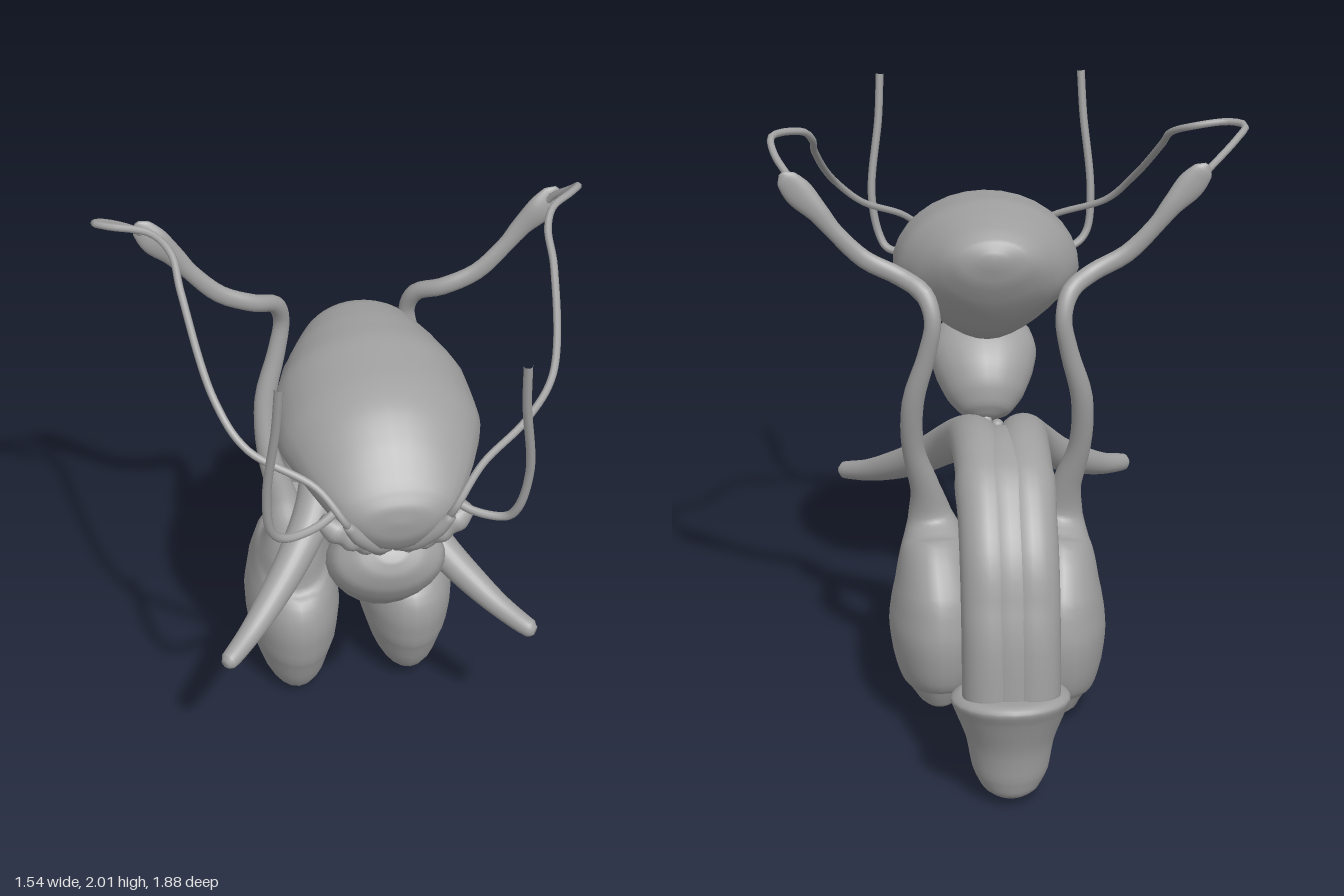
import * as THREE from 'three';

const CX = 0.048; // anatomical midline
const X = new THREE.Vector3(1, 0, 0);
const Z = new THREE.Vector3(0, 0, 1);

// Smooth closed body from rows [x, y, z, a, b]: elliptical sections along a path.
// b lies along ref, a across it; axis fixes the section plane when given.
function sweep(rows, ref = X, axis = null, sides = 24, sub = 4) {
  const path = new THREE.CatmullRomCurve3(rows.map(r => new THREE.Vector3(r[0], r[1], r[2])));
  const size = new THREE.CatmullRomCurve3(rows.map(r => new THREE.Vector3(r[3], r[4] ?? r[3], 0)));
  const n = (rows.length - 1) * sub;
  const pos = [], index = [];
  for (let k = 0; k <= n + 2; k++) {
    const t = Math.min(Math.max(k - 1, 0), n) / n;
    const cap = k === 0 || k === n + 2 ? 0 : 1;
    const c = path.getPoint(t), s = size.getPoint(t);
    const T = axis ? axis.clone() : path.getTangent(t);
    const B = ref.clone().addScaledVector(T, -ref.dot(T)).normalize();
    const A = new THREE.Vector3().crossVectors(B, T);
    for (let j = 0; j < sides; j++) {
      const w = (j / sides) * Math.PI * 2;
      const p = c.clone()
        .addScaledVector(A, cap * Math.max(s.x, 0) * Math.cos(w))
        .addScaledVector(B, cap * Math.max(s.y, 0) * Math.sin(w));
      pos.push(p.x, p.y, p.z);
      if (k < n + 2) {
        const a = k * sides + j, b = k * sides + (j + 1) % sides;
        index.push(a, b, a + sides, b, b + sides, a + sides);
      }
    }
  }
  const g = new THREE.BufferGeometry();
  g.setAttribute('position', new THREE.Float32BufferAttribute(pos, 3));
  g.setIndex(index);
  g.computeVertexNormals();
  return g;
}

// Move every vertex by a rule
function reshape(g, rule) {
  const p = g.attributes.position, v = new THREE.Vector3();
  for (let i = 0; i < p.count; i++) {
    rule(v.fromBufferAttribute(p, i));
    p.setXYZ(i, v.x, v.y, v.z);
  }
  g.computeVertexNormals();
  return g;
}

export function createModel() {
  const group = new THREE.Group();
  const grey = new THREE.MeshStandardMaterial({ color: 0xa0a0a0 });
  grey.name = 'plain grey';
  const add = (name, geometry) => {
    const m = new THREE.Mesh(geometry, grey);
    m.name = name;
    group.add(m);
    return m;
  };
  const tube = (name, pts, r = 0.012) => add(name, new THREE.TubeGeometry(
    new THREE.CatmullRomCurve3(pts.map(p => new THREE.Vector3(...p))), 72, r, 8));

  // Bladder: rows are z, top, bottom, half width; the underside narrows to a keel
  const bladder = [
    [0.82, 1.345, 1.325, 0.02], [0.812, 1.39, 1.27, 0.12], [0.78, 1.44, 1.21, 0.19],
    [0.7, 1.53, 1.165, 0.24], [0.59, 1.61, 1.14, 0.285], [0.46, 1.65, 1.13, 0.32],
    [0.3, 1.67, 1.17, 0.31], [0.16, 1.66, 1.24, 0.255], [0.05, 1.64, 1.37, 0.18],
    [0, 1.61, 1.46, 0.12], [-0.02, 1.57, 1.53, 0.03],
  ].map(([z, t, b, w]) => [CX, (t + b) / 2, z, (t - b) / 2, w]);
  add('bladder', reshape(sweep(bladder, X, new THREE.Vector3(0, 0, -1), 32), v => {
    if (v.y < 1.4) v.x = CX + (v.x - CX) * (1 - 1.6 * (1.4 - v.y));
  }));

  // Prostate: a tilted, heart-like body under the bladder
  add('prostate', sweep([
    [CX, 1.13, 0.695, 0.03, 0.04], [CX, 1.115, 0.68, 0.075, 0.11], [CX, 1.075, 0.64, 0.115, 0.172],
    [CX, 1.02, 0.58, 0.138, 0.19], [CX, 0.96, 0.52, 0.14, 0.172], [CX, 0.9, 0.46, 0.115, 0.135],
    [CX, 0.855, 0.42, 0.07, 0.085], [CX, 0.84, 0.405, 0.02, 0.03],
  ], X, new THREE.Vector3(0, -0.707, -0.707)));

  // Urethra: link to the bulb, then the spongy body under the shaft
  tube('urethraLink', [[CX, 0.9, 0.45], [CX, 0.84, 0.42], [CX, 0.79, 0.38]], 0.022);
  add('spongyBody', sweep([
    [CX, 0.78, 0.44, 0.02, 0.04], [CX, 0.775, 0.41, 0.04, 0.075], [CX, 0.78, 0.32, 0.05, 0.08],
    [CX, 0.8, 0.2, 0.052, 0.075], [CX, 0.845, 0, 0.055, 0.07], [CX, 0.88, -0.3, 0.062, 0.07],
    [CX, 0.85, -0.46, 0.065, 0.07], [CX, 0.72, -0.57, 0.067, 0.075], [CX, 0.5, -0.615, 0.067, 0.075],
    [CX, 0.3, -0.63, 0.067, 0.075],
  ]));

  // Shaft core filling the groove between the paired bodies
  add('shaftCore', sweep([
    [CX, 0.99, -0.17, 0.01, 0.01], [CX, 1.01, -0.27, 0.07, 0.08], [CX, 0.995, -0.47, 0.083, 0.1],
    [CX, 0.9, -0.62, 0.083, 0.1], [CX, 0.78, -0.71, 0.083, 0.1], [CX, 0.6, -0.765, 0.083, 0.1],
    [CX, 0.32, -0.785, 0.085, 0.1],
  ]));

  // Glans with a raised rim at the back
  add('glans', reshape(sweep([
    [CX, 0.375, -0.75, 0.08, 0.08], [CX, 0.37, -0.75, 0.16, 0.16], [CX, 0.345, -0.742, 0.192, 0.19],
    [CX, 0.3, -0.735, 0.178, 0.175], [CX, 0.2, -0.725, 0.145, 0.14], [CX, 0.1, -0.73, 0.123, 0.122],
    [CX, 0.04, -0.745, 0.09, 0.09], [CX, 0.015, -0.755, 0.05, 0.05], [CX, 0.01, -0.757, 0.01, 0.01],
  ], X, new THREE.Vector3(0, -1, 0)), v => {
    if (v.y > 0.15) v.y -= (v.z + 0.74) * 0.15 * Math.min(1, (v.y - 0.15) / 0.15);
  }));
  const rim = add('outletRim', new THREE.TorusGeometry(0.014, 0.007, 8, 16));
  rim.rotation.x = Math.PI / 2;
  rim.position.set(CX, 0.01, -0.757);

  // Paired parts
  for (const s of [-1, 1]) {
    const side = s < 0 ? 'right' : 'left';

    // Paired erectile body, ending in a spread root
    add(side + 'CavernousBody', sweep([
      [0.515, 0.605, 0.535, 0.015], [0.5, 0.608, 0.525, 0.03], [0.42, 0.64, 0.44, 0.038],
      [0.34, 0.69, 0.35, 0.048], [0.24, 0.77, 0.23, 0.058], [0.15, 0.87, 0.1, 0.068],
      [0.1, 0.95, -0.05, 0.076], [0.075, 1.015, -0.26, 0.08, 0.085], [0.067, 0.995, -0.47, 0.085, 0.088],
      [0.067, 0.9, -0.62, 0.085, 0.088], [0.067, 0.78, -0.71, 0.085, 0.088],
      [0.067, 0.6, -0.765, 0.085, 0.088], [0.067, 0.32, -0.785, 0.088, 0.088],
    ].map(r => [CX + s * r[0], ...r.slice(1)])));

    // Testis tapering into its cord, which ends in a flattened leaf; one hangs lower
    const lift = s > 0 ? 0.042 : 0;
    add(side + 'TestisAndCord', sweep([
      [0.2, 0.01, -0.17, 0.02, 0.03], [0.2, 0.025, -0.17, 0.07, 0.12], [0.2, 0.09, -0.15, 0.12, 0.21],
      [0.2, 0.2, -0.145, 0.153, 0.258], [0.2, 0.32, -0.142, 0.165, 0.273], [0.2, 0.43, -0.135, 0.152, 0.255],
      [0.205, 0.52, -0.115, 0.13, 0.2], [0.21, 0.6, -0.075, 0.105, 0.125], [0.22, 0.68, -0.06, 0.075, 0.07],
      [0.235, 0.79, -0.09, 0.05, 0.043], [0.275, 0.95, -0.13, 0.037, 0.037],
      [0.275, 1.13, -0.175, 0.036, 0.034], [0.23, 1.3, -0.205, 0.03, 0.027], [0.21, 1.42, -0.215, 0.027, 0.024],
      [0.235, 1.5, -0.185, 0.03, 0.026], [0.31, 1.545, -0.135, 0.03, 0.025], [0.42, 1.6, -0.12, 0.03, 0.02],
      [0.51, 1.69, -0.12, 0.028, 0.02], [0.565, 1.76, -0.12, 0.035, 0.022], [0.62, 1.82, -0.115, 0.047, 0.024],
      [0.66, 1.87, -0.12, 0.035, 0.014], [0.675, 1.89, -0.12, 0.01, 0.006],
    ].map(r => [CX + s * r[0], r[1] + lift * Math.max(0, 1 - r[1] / 0.72), ...r.slice(2)]), Z));

    // Lumpy seminal vesicle and smoother ampulla beneath the bladder
    const vesicle = [], steps = 9;
    for (let i = 0; i <= steps; i++) {
      const t = i / steps;
      const r = (i === 0 || i === steps ? 0.015 : 0.034) + (i % 2 ? 0.008 : 0);
      vesicle.push([CX + s * (0.02 + 0.21 * t), 1.17 + 0.15 * t, 0.69 + 0.07 * Math.sin(t * 2.4), r]);
    }
    add(side + 'SeminalVesicle', sweep(vesicle, Z, null, 14, 3));
    add(side + 'Ampulla', sweep([
      [0.01, 1.15, 0.69, 0.015], [0.06, 1.21, 0.75, 0.028], [0.12, 1.28, 0.79, 0.026],
      [0.16, 1.34, 0.81, 0.014],
    ].map(r => [CX + s * r[0], ...r.slice(1)]), Z, null, 14));

    // Small gland beside the bulb
    const gland = add(side + 'BulbGland', new THREE.SphereGeometry(0.024, 16, 12));
    gland.position.set(CX + s * 0.042, 0.79, 0.455);
  }

  // Ducts looping from the leaves over the bladder, each with its own course
  tube('rightDuct', [
    [-0.58, 1.82, -0.12], [-0.63, 1.87, -0.11], [-0.73, 1.95, -0.04], [-0.765, 1.98, 0.01], [-0.72, 1.985, 0.045],
    [-0.6, 1.965, 0.07], [-0.545, 1.93, 0.14], [-0.53, 1.86, 0.25], [-0.47, 1.66, 0.55],
    [-0.39, 1.55, 0.66], [-0.2, 1.46, 0.76], [-0.12, 1.36, 0.815], [-0.1, 1.32, 0.8],
  ]);
  tube('leftDuct', [
    [0.67, 1.82, -0.12], [0.7, 1.87, -0.1], [0.745, 1.93, -0.04], [0.755, 1.97, 0.01], [0.72, 1.975, 0.055],
    [0.65, 1.96, 0.11], [0.625, 1.92, 0.16], [0.62, 1.85, 0.28], [0.555, 1.66, 0.58],
    [0.46, 1.56, 0.66], [0.31, 1.48, 0.75], [0.22, 1.38, 0.815], [0.2, 1.33, 0.8],
  ]);

  // Ureters hooking into the bladder from above
  tube('rightUreter', [
    [-0.327, 1.95, 0.93], [-0.335, 1.8, 0.91], [-0.36, 1.53, 0.87], [-0.345, 1.38, 0.85],
    [-0.3, 1.335, 0.83], [-0.2, 1.335, 0.79], [-0.11, 1.37, 0.74],
  ], 0.014);
  tube('leftUreter', [
    [0.387, 1.95, 0.93], [0.395, 1.8, 0.91], [0.425, 1.53, 0.87], [0.4, 1.38, 0.85],
    [0.37, 1.335, 0.83], [0.28, 1.335, 0.79], [0.2, 1.37, 0.74],
  ], 0.014);

  return group;
}
